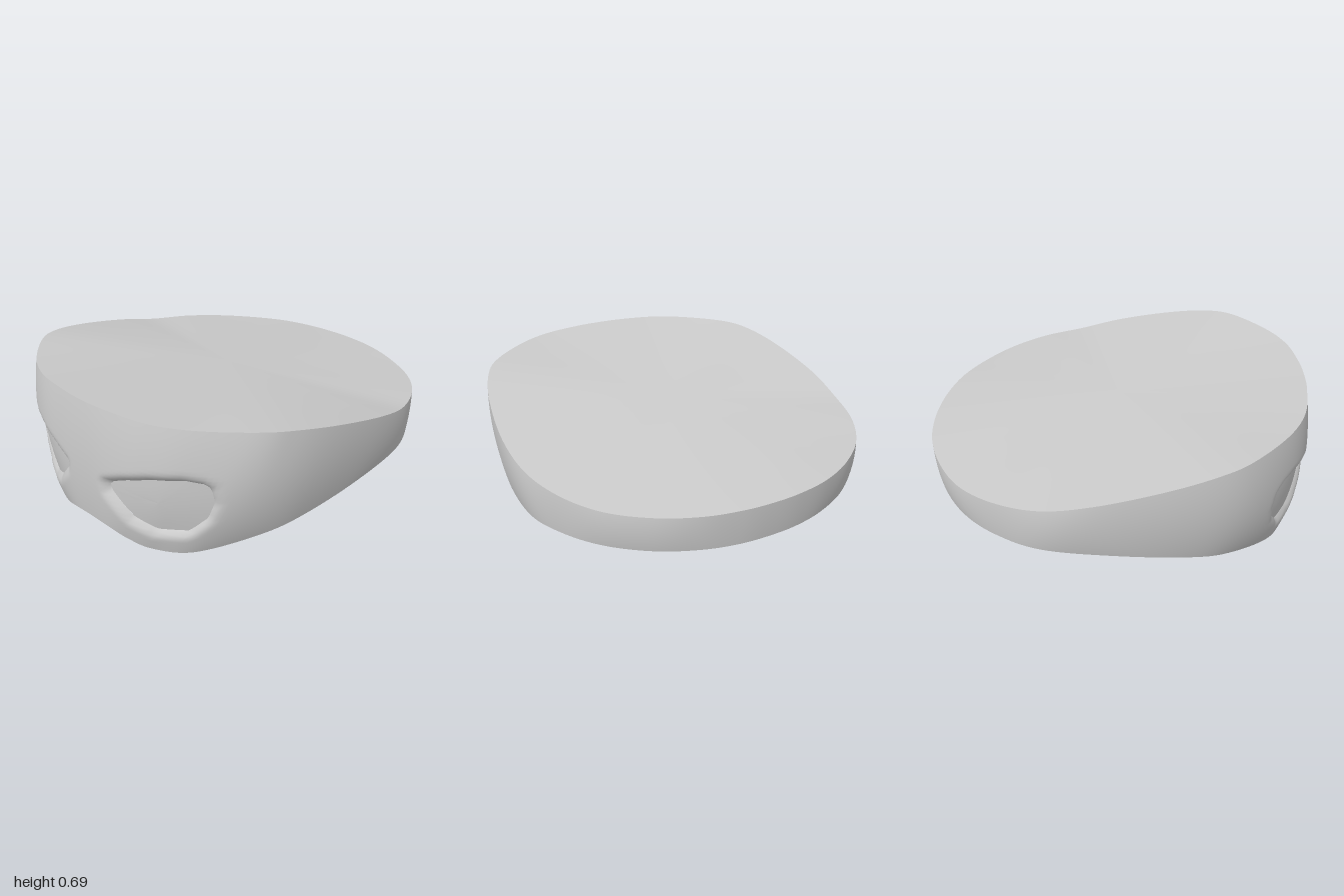
import * as THREE from 'three';

// Half outlines [x, y, z] from front centre round the model's left to back centre
const TOP = [[0, .695, .97], [.16, .695, .96], [.37, .692, .92], [.56, .688, .82], [.76, .68, .64], [.85, .658, .48],
  [.91, .61, .25], [.94, .54, -.05], [.915, .48, -.3], [.84, .455, -.53], [.71, .437, -.72], [.53, .43, -.86],
  [.34, .43, -.95], [.16, .43, -.99], [0, .43, -1]];
const MID = [[0, .38, 1], [.16, .37, .995], [.32, .35, .968], [.48, .34, .9], [.67, .345, .76], [.81, .375, .57],
  [.89, .385, .32], [.935, .378, -.03], [.92, .36, -.3], [.84, .352, -.53], [.71, .344, -.72], [.53, .34, -.86],
  [.34, .338, -.945], [.16, .338, -.985], [0, .338, -.995]];
const BOTTOM = [[0, .075, .985], [.12, .066, .98], [.22, .03, .95], [.34, .002, .9], [.52, .02, .8], [.73, .105, .58],
  [.83, .16, .38], [.9, .215, .05], [.905, .238, -.3], [.83, .25, -.53], [.7, .25, -.71], [.52, .248, -.85],
  [.33, .246, -.935], [.16, .245, -.975], [0, .245, -.985]];
// Left eye outline, clockwise from the inner corner
const EYE = [[.147, .325], [.25, .37], [.38, .413], [.52, .435], [.585, .425], [.612, .405], [.62, .33], [.59, .24],
  [.51, .15], [.375, .13], [.27, .17], [.153, .285]];

const DEPTH = 0.035, LIP = 0.05;   // eye recess and its rounded edge
const SPAN = 28, STEPS = 10, ROWS = 34, COLS = SPAN * STEPS;

const ring = half => new THREE.CatmullRomCurve3(
  [...half, ...half.slice(1, -1).reverse().map(([x, y, z]) => [-x, y, z])].map(p => new THREE.Vector3(...p)),
  true, 'catmullrom', 0.5);
const rings = [BOTTOM, MID, TOP].map(ring);

// Point on the band: u runs round it (0..28), v from bottom to top
function surface(u, v) {
  const t = (((u % SPAN) + SPAN) % SPAN) / SPAN;
  const w = [(1 - v) * (1 - 2 * v), 4 * v * (1 - v), v * (2 * v - 1)];
  return rings.reduce((sum, r, i) => sum.addScaledVector(r.getPoint(t), w[i]), new THREE.Vector3());
}

// Point on the front of the band at a given x and y
function frontPoint(x, y) {
  let u = x * 6, v = y / 0.69, p;
  for (let i = 0; i < 30; i++) {
    p = surface(u, v);
    u += (x - p.x) * 4.5;
    v += (y - p.y) * 1.4;
  }
  return new THREE.Vector3(x, y, p.z);
}

function insideEye(x, y) {
  let inside = false;
  EYE.forEach(([ax, ay], i) => {
    const [bx, by] = EYE[(i + 1) % EYE.length];
    if ((ay > y) !== (by > y) && x < ax + (bx - ax) * (y - ay) / (by - ay)) inside = !inside;
  });
  return inside;
}

function nearestOnEye(x, y) {
  const p = new THREE.Vector3(x, y, 0), best = new THREE.Vector3(9, 9, 0), q = new THREE.Vector3();
  EYE.forEach((a, i) => {
    const b = EYE[(i + 1) % EYE.length];
    new THREE.Line3(new THREE.Vector3(...a, 0), new THREE.Vector3(...b, 0)).closestPointToPoint(p, true, q);
    if (q.distanceTo(p) < best.distanceTo(p)) best.copy(q);
  });
  return best;
}

function buildMesh(name, points, index) {
  const geometry = new THREE.BufferGeometry().setFromPoints(points);
  geometry.setIndex(index);
  geometry.computeVertexNormals();
  const mesh = new THREE.Mesh(geometry, new THREE.MeshStandardMaterial({ color: 0xcccccc }));
  mesh.name = name;
  return mesh;
}

// Band with two eye openings whose edges roll inward
function makeBand() {
  const points = [], inside = [], index = [];
  for (let j = 0; j <= ROWS; j++) {
    for (let i = 0; i < COLS; i++) {
      let p = surface(i / STEPS, j / ROWS);
      let hole = false;
      if (p.z > 0.5) {
        const side = Math.sign(p.x) || 1, x = Math.abs(p.x);
        const near = nearestOnEye(x, p.y);
        hole = insideEye(x, p.y);
        const d = hole ? 0 : Math.hypot(near.x - x, near.y - p.y);
        if (hole) {
          p = frontPoint(near.x, near.y);
          p.x *= side;
        }
        if (d < LIP) p.z -= DEPTH * (1 - d / LIP) ** 2;
      }
      points.push(p);
      inside.push(hole);
    }
  }
  const face = (...t) => { if (!t.every(k => inside[k])) index.push(...t); };
  for (let j = 0; j < ROWS; j++) {
    for (let i = 0; i < COLS; i++) {
      const a = j * COLS + i, b = j * COLS + (i + 1) % COLS;
      face(a, b, b + COLS);
      face(a, b + COLS, a + COLS);
    }
  }
  return buildMesh('maskBand', points, index);
}

// Shallow fan closing the top or bottom rim
function makeCap(name, v, centreY) {
  const points = [new THREE.Vector3(0, centreY, 0)], index = [];
  for (let i = 0; i < COLS; i++) {
    points.push(surface(i / STEPS, v));
    const a = i + 1, b = (i + 1) % COLS + 1;
    index.push(0, ...(v ? [a, b] : [b, a]));
  }
  return buildMesh(name, points, index);
}

// Recessed plate filling an eye opening, built from shrinking copies of its outline
function makeEye(name, side) {
  const outline = [], SUB = 4, LAYERS = 4, cx = 0.4, cy = 0.29;
  EYE.forEach(([ax, ay], i) => {
    const [bx, by] = EYE[(i + 1) % EYE.length];
    for (let k = 0; k < SUB; k++) outline.push([ax + (bx - ax) * k / SUB, ay + (by - ay) * k / SUB]);
  });
  if (side > 0) outline.reverse();
  const n = outline.length, points = [], index = [];
  for (let l = 0; l <= LAYERS; l++) {
    const s = 1 - l / LAYERS;
    outline.forEach(([x, y], i) => {
      const p = frontPoint(cx + (x - cx) * s, cy + (y - cy) * s);
      points.push(p.set(p.x * side, p.y, p.z - DEPTH));
      if (l === LAYERS) return;
      const a = l * n + i, b = l * n + (i + 1) % n;
      index.push(a, b, b + n);
      if (l < LAYERS - 1) index.push(a, b + n, a + n);
    });
  }
  return buildMesh(name, points, index);
}

export function createModel() {
  const mask = new THREE.Group();
  mask.name = 'eyeMask';
  mask.add(makeBand(), makeCap('topCap', 1, 0.56), makeCap('bottomCap', 0, 0.12),
    makeEye('leftEye', 1), makeEye('rightEye', -1));
  return mask;
}
